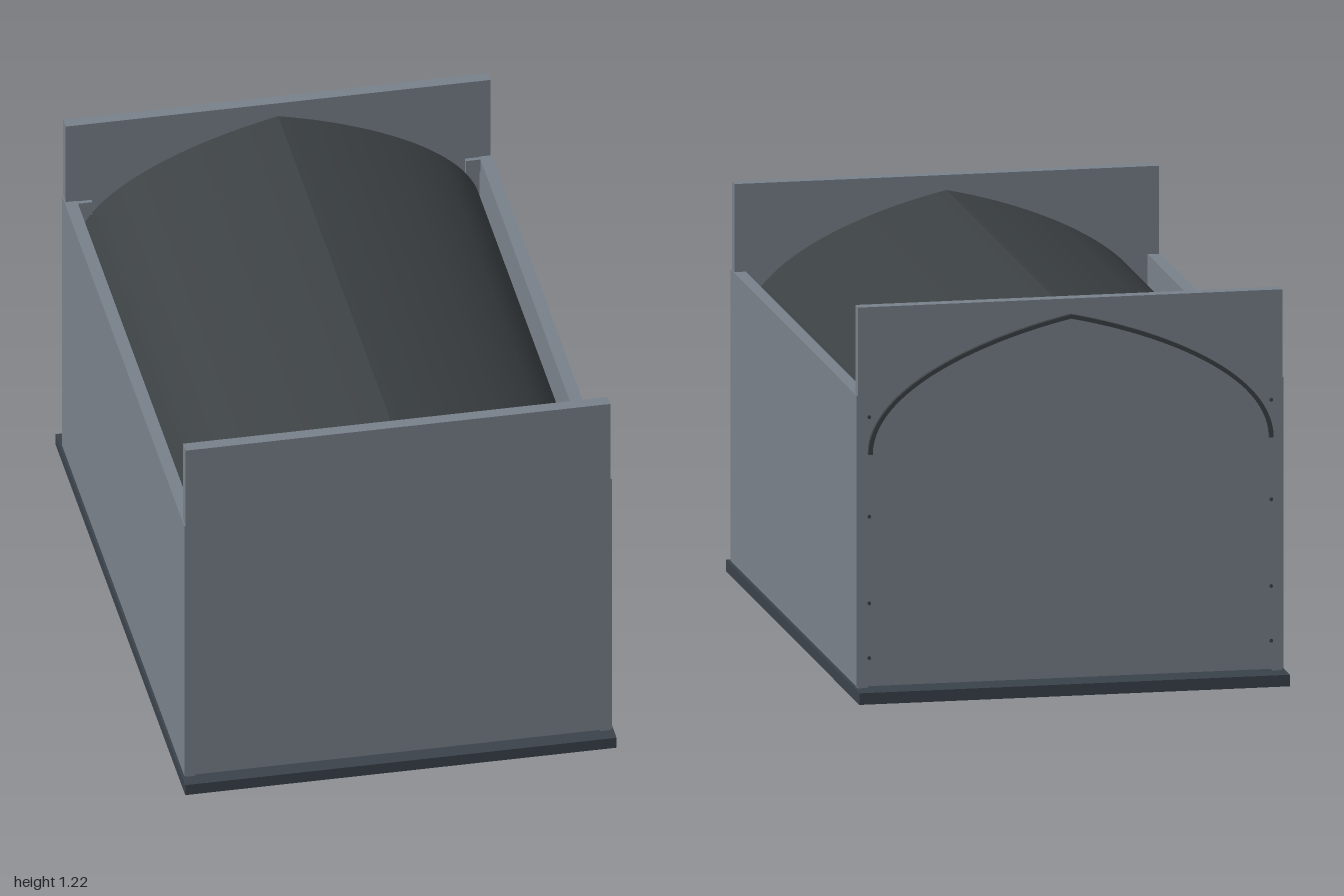
import * as THREE from 'three';

export function createModel() {
  const model = new THREE.Group();
  const mat = (name, color) => {
    const m = new THREE.MeshStandardMaterial({ color });
    m.name = name;
    return m;
  };
  const panelGrey = mat('panel grey', 0x78808a);
  const baseDark = mat('base charcoal', 0x3a424a);
  const lidDark = mat('lid charcoal', 0x3b4043);

  const add = (name, geometry, material) => {
    const mesh = new THREE.Mesh(geometry, material);
    mesh.name = name;
    model.add(mesh);
    return mesh;
  };
  // Box given by its limits on each axis
  const box = (name, material, x0, x1, y0, y1, z0, z1) =>
    add(name, new THREE.BoxGeometry(x1 - x0, y1 - y0, z1 - z0), material)
      .position.set((x0 + x1) / 2, (y0 + y1) / 2, (z0 + z1) / 2);

  // Base slab and the two tall end panels
  box('base', baseDark, -0.67, 0.67, 0, 0.036, -1, 1);
  box('frontPanel', panelGrey, -0.66, 0.66, 0.042, 1.222, 0.916, 0.956);
  box('backPanel', panelGrey, -0.66, 0.66, 0.042, 1.222, -0.93, -0.89);

  for (const s of [1, -1]) {
    const side = s > 0 ? 'left' : 'right';
    const span = (a, b) => (s > 0 ? [a, b] : [-b, -a]);

    // Low side panel, resting on small corner tabs
    box(side + 'Panel', panelGrey, ...span(0.625, 0.664), 0.041, 0.948, -0.929, 0.955);
    box(side + 'FrontTab', panelGrey, ...span(0.63, 0.66), 0.036, 0.042, 0.91, 0.954);
    box(side + 'BackTab', panelGrey, ...span(0.63, 0.66), 0.036, 0.042, -0.928, -0.89);
    // Corner bracket inside the back panel
    box(side + 'Bracket', panelGrey, ...span(0.58, 0.625), 0.9, 0.946, -0.89, -0.876);

    // Screw heads down the back panel
    for (const y of [0.13, 0.3, 0.57, 0.88]) {
      const screw = add(side + 'Screw', new THREE.CylinderGeometry(0.006, 0.006, 0.004, 10), baseDark);
      screw.rotation.x = Math.PI / 2;
      screw.position.set(s * 0.625, y, -0.931);
    }
  }

  // Curved lid: a thin sheet with a soft ridge, its end showing behind the back panel
  const t = 0.013;
  const lid = new THREE.Shape();
  lid.moveTo(0.63, 0.765);
  lid.bezierCurveTo(0.63, 0.97, 0.28, 1.115, 0, 1.175);
  lid.bezierCurveTo(-0.28, 1.115, -0.63, 0.97, -0.63, 0.765);
  lid.lineTo(-0.63 + t, 0.765);
  lid.bezierCurveTo(-0.63 + t, 0.96, -0.28, 1.115 - t, 0, 1.175 - t);
  lid.bezierCurveTo(0.28, 1.115 - t, 0.63 - t, 0.96, 0.63 - t, 0.765);
  lid.closePath();
  const lidGeometry = new THREE.ExtrudeGeometry(lid, { depth: 1.87, bevelEnabled: false, curveSegments: 28 });
  add('lid', lidGeometry, lidDark).position.z = -0.945;

  return model;
}
